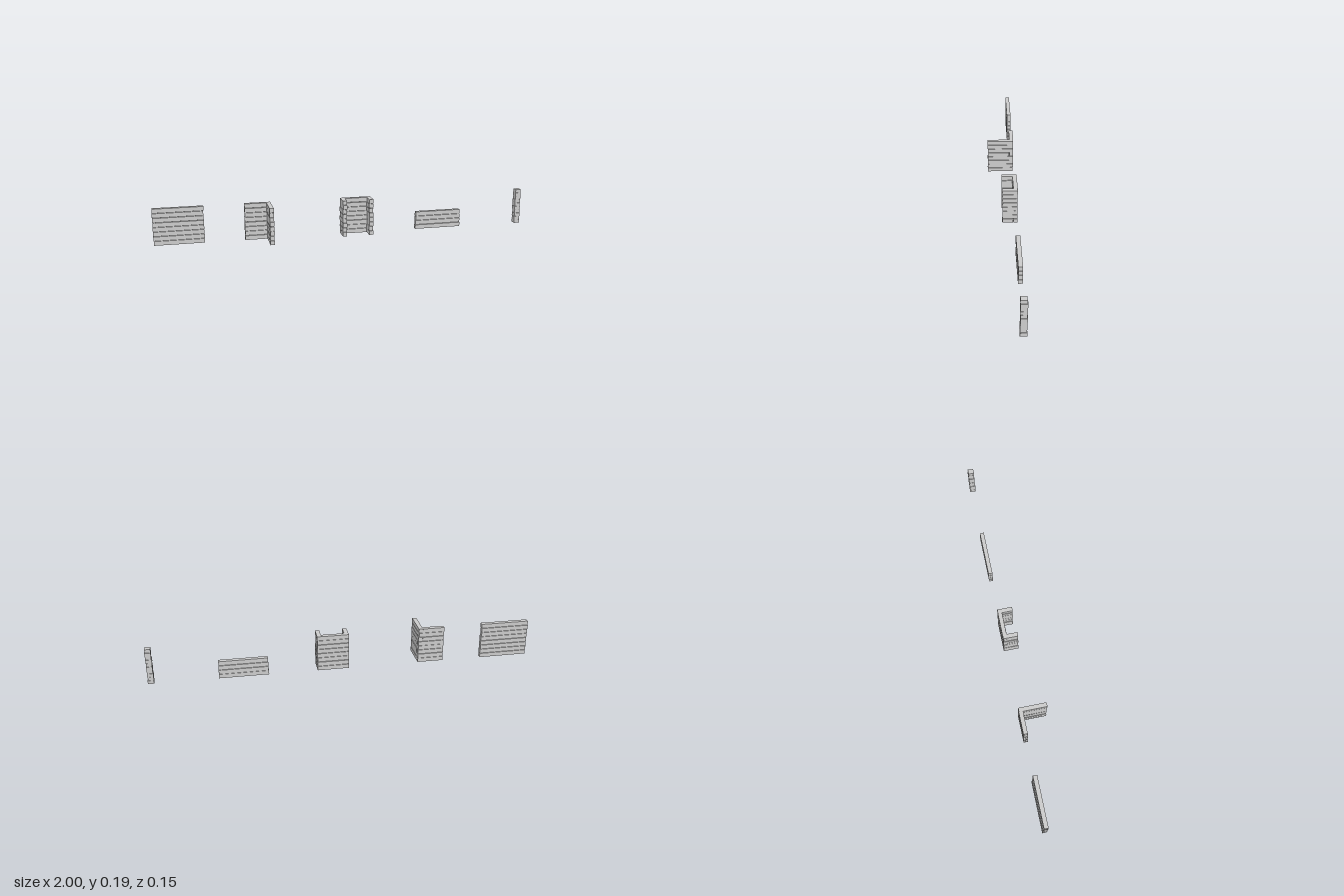
import * as THREE from 'three';

const PLANK = 0.022;           // plank height and wall thickness
const PITCH = 0.0243;          // distance between plank layers
const BACK = -0.061;           // centre line of the long walls

// Seeded value in -1..1 for the slight unevenness of the planks
let seed = 7;
const jitter = (amount) => {
  seed = (seed * 16807) % 2147483647;
  return (seed / 2147483647 * 2 - 1) * amount;
};

const material = new THREE.MeshStandardMaterial({ color: 0xcccccc, flatShading: true });

// One box given by its extents
function block(parent, name, x0, x1, y0, y1, z0, z1) {
  const mesh = new THREE.Mesh(new THREE.BoxGeometry(x1 - x0, y1 - y0, z1 - z0), material);
  mesh.position.set((x0 + x1) / 2, (y0 + y1) / 2, (z0 + z1) / 2);
  mesh.name = name;
  parent.add(mesh);
}

// Stack of planks along x; ends listed in `joints` are shortened on alternate layers
function wallAlongX(parent, name, x0, x1, layers, joints = [false, false]) {
  const wall = new THREE.Group();
  wall.name = name;
  for (let i = 0; i < layers; i++) {
    const y = i * PITCH, dz = jitter(0.0015), odd = i % 2;
    const a = joints[0] && odd ? x0 + PLANK : x0 + Math.abs(jitter(0.003));
    const b = joints[1] && odd ? x1 - PLANK : x1 - Math.abs(jitter(0.003));
    block(wall, 'plank', a, b, y, y + PLANK, BACK - PLANK / 2 + dz, BACK + PLANK / 2 + dz);
  }
  parent.add(wall);
}

// Stack of planks along z, reaching into the corner on the other layers
function wallAlongZ(parent, name, x, z1, layers) {
  const wall = new THREE.Group();
  wall.name = name;
  for (let i = 0; i < layers; i++) {
    const y = i * PITCH, dx = jitter(0.0015);
    const z0 = BACK + (i % 2 ? -PLANK / 2 : PLANK / 2);
    block(wall, 'plank', x - PLANK / 2 + dx, x + PLANK / 2 + dx, y, y + PLANK,
      z0, z1 - Math.abs(jitter(0.002)));
  }
  parent.add(wall);
}

export function createModel() {
  seed = 7;
  const model = new THREE.Group();
  model.name = 'plankWallSet';

  // Straight full-height wall
  wallAlongX(model, 'straightWall', -1, -0.742, 8);

  // L-shaped corner
  const corner = new THREE.Group();
  corner.name = 'cornerWall';
  wallAlongX(corner, 'cornerBack', -0.537, -0.399, 8, [false, true]);
  wallAlongZ(corner, 'cornerSide', -0.41, 0.073, 8);
  model.add(corner);

  // U-shaped bay
  const bay = new THREE.Group();
  bay.name = 'bayWall';
  wallAlongX(bay, 'bayBack', -0.028, 0.137, 8, [true, true]);
  wallAlongZ(bay, 'bayRightSide', -0.017, 0.007, 8);
  wallAlongZ(bay, 'bayLeftSide', 0.126, 0.007, 8);
  model.add(bay);

  // Half-height wall
  wallAlongX(model, 'lowWall', 0.389, 0.646, 4);

  // Pillar of stacked, slightly shifted blocks
  const pillar = new THREE.Group();
  pillar.name = 'pillar';
  for (let i = 0; i < 10; i++) {
    const dx = jitter(0.001), dz = jitter(0.001), y = i * 0.0193;
    const inset = i % 2 ? 0.001 : 0;
    block(pillar, 'pillarBlock', 0.968 + dx + inset, 0.999 + dx - inset, y, y + 0.0183,
      -0.072 + dz + inset, -0.04 + dz - inset);
  }
  model.add(pillar);

  return model;
}
